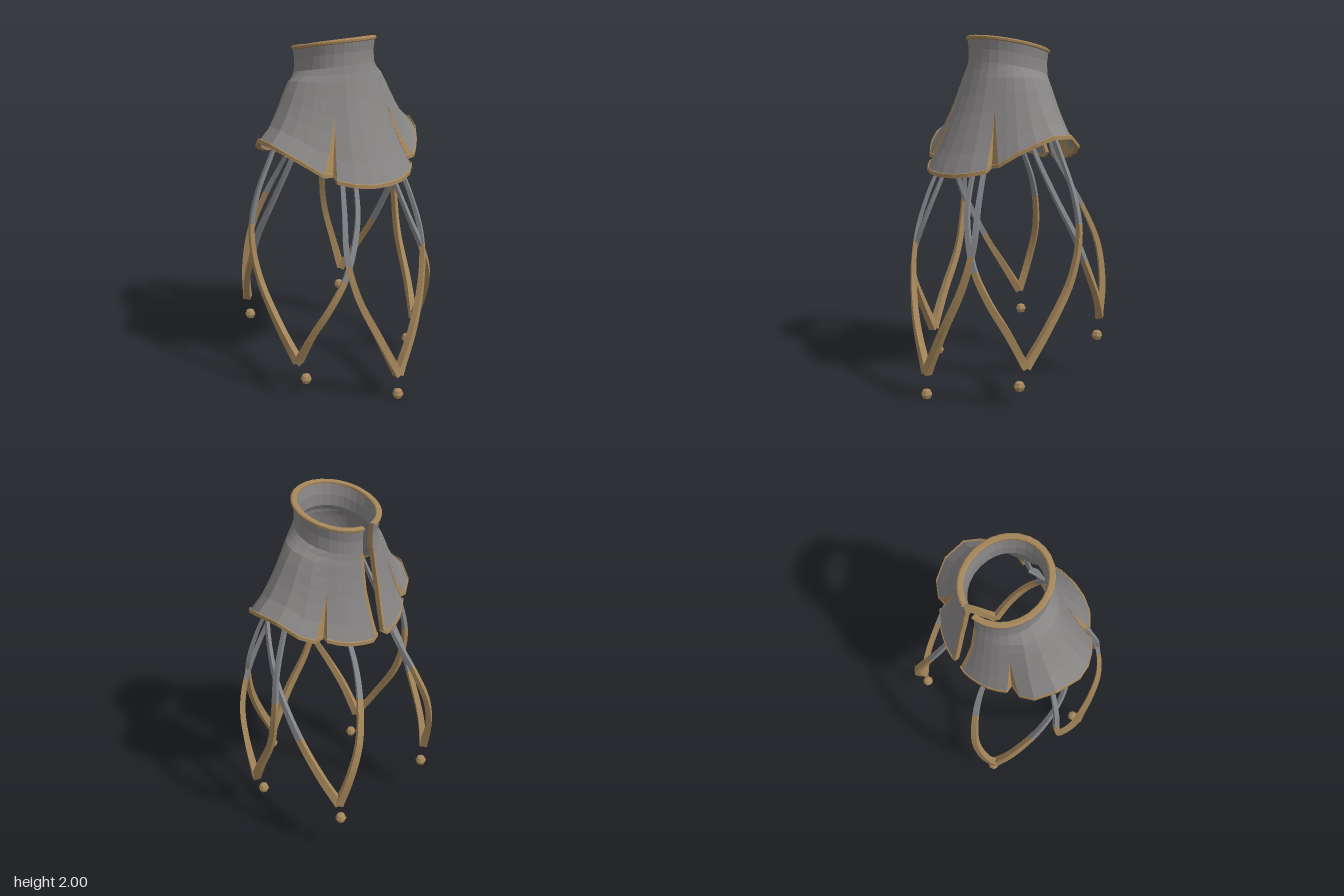
import * as THREE from 'three';

const V = (x, y, z) => new THREE.Vector3(x, y, z);
const mat = (name, color) => {
  const m = new THREE.MeshStandardMaterial({ color, flatShading: true, side: THREE.DoubleSide });
  m.name = name;
  return m;
};
const CZ = -0.07; // depth of the collar axis
const WALL = 0.018;

// Surface through rows of points
function loft(name, rows, material, caps = false) {
  const n = rows[0].length, pos = [], idx = [];
  rows.forEach(r => r.forEach(p => pos.push(p.x, p.y, p.z)));
  for (let i = 0; i < rows.length - 1; i++)
    for (let j = 0; j < n - 1; j++) {
      const a = i * n + j, b = a + n;
      idx.push(a, b, a + 1, b, b + 1, a + 1);
    }
  if (caps) [0, (rows.length - 1) * n].forEach(o => idx.push(o, o + 1, o + 2, o, o + 2, o + 3));
  const g = new THREE.BufferGeometry();
  g.setAttribute('position', new THREE.Float32BufferAttribute(pos, 3));
  g.setIndex(idx);
  g.computeVertexNormals();
  const m = new THREE.Mesh(g, material);
  m.name = name;
  return m;
}

// Point at an angle from the front, measured about the collar axis
function polar(deg, r, y) {
  const a = THREE.MathUtils.degToRad(deg);
  return V(Math.sin(a) * r, y, CZ + Math.cos(a) * r);
}
const cosD = d => Math.cos(THREE.MathUtils.degToRad(d));
const collarR = d => 0.228 - 0.012 * (1 - cosD(d) ** 2);
const collarY = d => 1.815 + 0.045 * cosD(d);

// Skirt profile: drop fraction, spread at the sides, spread at front and back
const DROP = [0, 0.07, 0.14, 0.3, 0.45, 0.6, 0.8, 1];
const SIDE = [0, 0.1, 0.22, 0.35, 0.45, 0.56, 0.73, 1];
const FRONT = [0, 0.03, 0.08, 0.2, 0.34, 0.5, 0.73, 1];
const SLIT = 4; // row where slits begin

// Hem columns: angle, radius, height, then angle and radius above the slit
const frontHem = [[0, 0.47, 1.25], [12, 0.468, 1.253], [24, 0.462, 1.265], [36, 0.445, 1.285, 37.5, 0.435]];
const sideHem = [[45, 0.448, 1.32, 37.5, 0.435], [50, 0.457, 1.345], [58, 0.47, 1.385], [69, 0.488, 1.43],
  [80, 0.497, 1.465], [96, 0.475, 1.46], [110, 0.447, 1.4], [119, 0.4, 1.36, 125, 0.375]];
const backHem = [[128, 0.37, 1.355, 125, 0.375], [136, 0.36, 1.335], [145, 0.352, 1.32], [154, 0.343, 1.31],
  [163, 0.337, 1.3], [171, 0.333, 1.295, 167], [176, 0.33, 1.32, 171]];
// Bottom of each slit, where the side panel's edge folds inwards
const frontFold = [39, 0.405, 1.31, 37.5, 0.435], backFold = [124, 0.335, 1.355, 125, 0.375];
const flip = cols => cols.map(([a, r, y, at = a, rt = r]) => [-a, r, y, -at, rt]).reverse();

function skirtPoint([a, r, y, at = a, rt = r], i, off = 0, dy = 0) {
  const k = Math.max(0, (DROP[i] - 0.45) / 0.55);
  const ang = at + (a - at) * k, hemR = rt + (r - rt) * k;
  const s = 1 - cosD(ang) ** 2;
  const f = SIDE[i] * s + FRONT[i] * (1 - s);
  const rc = collarR(ang), yc = collarY(ang);
  return polar(ang, rc + (hemR - rc) * f + off, yc + (y - yc) * DROP[i] + dy);
}
const column = (c, from, off) => DROP.map((_, i) => i).slice(from).map(i => skirtPoint(c, i, off));

// Flat band swept along a curve, its section narrowing from start to end
function band(name, points, t0, t1, material) {
  const curve = new THREE.CatmullRomCurve3(points.map(p => V(...p)));
  const rows = [], N = 14;
  for (let i = 0; i <= N; i++) {
    const t = t0 + (t1 - t0) * i / N;
    const p = curve.getPoint(t), tan = curve.getTangent(t);
    const out = V(p.x, 0, p.z + 0.03).normalize();
    const wide = new THREE.Vector3().crossVectors(tan, out).normalize();
    const nor = new THREE.Vector3().crossVectors(wide, tan).normalize();
    const w = 0.022 - 0.013 * t, h = 0.023 - 0.015 * Math.sqrt(t);
    rows.push([[1, 1], [-1, 1], [-1, -1], [1, -1], [1, 1]].map(([u, v]) =>
      p.clone().addScaledVector(wide, u * w).addScaledVector(nor, v * h)));
  }
  return loft(name, rows, material, true);
}

export function createModel() {
  const root = new THREE.Group();
  root.name = 'petalCollar';
  const grey = mat('greyCloth', 0x878484);
  const steel = mat('greyStrand', 0x85868a);
  const gold = mat('goldTrim', 0xa5865a);

  // Panels from the back right around the front to the back left, and the folds between them
  const front = [...flip(frontHem).slice(0, -1), ...frontHem];
  const panels = [flip(backHem), flip(sideHem), front, sideHem, backHem];
  const folds = [...flip([frontFold, backFold]), frontFold, backFold];
  const names = ['backPanelRight', 'sidePanelRight', 'frontPanel', 'sidePanelLeft', 'backPanelLeft'];

  // Standing collar, open at the back, its facets lined up with the skirt
  const angles = [...new Set(panels.flat().map(c => c[3] ?? c[0]))];
  const ring = profile => angles.map(d => profile.map(([off, f]) =>
    polar(d, collarR(d) + off, collarY(d) + f * 0.135)));
  const wall = ring([[-WALL, -0.15], [-0.034, 0.05], [-0.032, 0.5], [-0.018, 1],
    [0.004, 1], [-0.004, 0.5], [-0.002, 0.2], [0, 0]]);
  root.add(loft('collarBand', wall, grey));
  root.add(loft('collarRim', ring([[0.002, 0.88], [0.01, 0.92], [0.011, 1.0], [0.004, 1.04],
    [-0.016, 1.04], [-0.021, 1], [-0.021, 0.92]]), gold));
  [wall[0], wall[wall.length - 1]].forEach(w =>
    root.add(loft('collarEnd', [w.slice(0, 4), w.slice(4).reverse()], gold)));

  // Skirt panels with an inner lining
  panels.forEach((cols, k) => {
    root.add(loft(names[k], cols.map(c => column(c, 0, 0)), grey));
    root.add(loft(names[k] + 'Lining', cols.map(c => column(c, 0, -WALL)), grey));
  });

  // Gold folds that fill the slits between panels
  folds.forEach((fold, k) => {
    const cols = [panels[k][panels[k].length - 1], fold, panels[k + 1][0]];
    for (const off of [0.002, -WALL])
      root.add(loft('slitFold', cols.map(c => column(c, SLIT, off)), gold));
  });

  // Gold edging along the hem and both sides of the back opening
  const lift = 0.017;
  const hem = panels.flatMap((cols, k) => k < 4 ? [...cols, folds[k]] : cols);
  root.add(loft('hemTrim', hem.map(c => [
    skirtPoint(c, 7, 0, lift), skirtPoint(c, 7, 0.005, lift - 0.003), skirtPoint(c, 7, 0.006, -0.006),
    skirtPoint(c, 7, -WALL - 0.004, -0.006), skirtPoint(c, 7, -WALL - 0.006, lift)]), gold));
  [1, -1].forEach(s => {
    const [a, r, y, at] = backHem[6];
    const end = [a * s, r, y, at * s], inset = [(a - 3.5) * s, r, y, (at - 3.5) * s];
    root.add(loft('openingTrim', [column(inset, 0, 0.003), column(end, 0, 0.005),
      column(end, 0, -WALL - 0.004), column(inset, 0, -WALL - 0.003)], gold));
  });

  // Hanging strands: name, share of length that is gold, points from tip to root
  const strands = [
    ['frontStrand', 0.46, [[0, 0.155, 0.508], [0.13, 0.42, 0.487], [0.235, 0.68, 0.43], [0.268, 0.9, 0.38],
      [0.237, 1.12, 0.32], [0.19, 1.35, 0.235], [0.17, 1.55, 0.19]]],
    ['sideFrontStrand', 0.48, [[0.44, 0.235, 0.16], [0.41, 0.44, 0.265], [0.36, 0.61, 0.35], [0.28, 0.79, 0.39],
      [0.18, 1.04, 0.355], [0.135, 1.23, 0.29], [0.12, 1.5, 0.18]]],
    ['sideBackStrand', 0.54, [[0.44, 0.235, 0.16], [0.487, 0.44, 0.045], [0.52, 0.7, -0.09], [0.527, 0.95, -0.138],
      [0.495, 1.15, -0.125], [0.41, 1.37, -0.1], [0.33, 1.55, -0.08]]],
    ['rearInnerStrand', 0.52, [[0.365, 0.385, -0.465], [0.338, 0.57, -0.512], [0.28, 0.8, -0.525], [0.215, 1.01, -0.465],
      [0.17, 1.17, -0.39], [0.14, 1.35, -0.29], [0.13, 1.5, -0.25]]],
    ['rearOuterStrand', 0.36, [[0.365, 0.385, -0.465], [0.412, 0.53, -0.39], [0.45, 0.74, -0.265], [0.463, 0.92, -0.165],
      [0.45, 1.1, -0.06], [0.4, 1.33, 0.04], [0.35, 1.5, 0.09]]],
  ];
  for (const s of [1, -1])
    for (const [name, split, pts] of strands) {
      const p = pts.map(([x, y, z]) => [x * s, y, z]);
      root.add(band(name + 'Lower', p, 0, split, gold));
      root.add(band(name + 'Upper', p, split, 1, steel));
    }

  // Beads floating below each tip
  const bead = new THREE.SphereGeometry(0.032, 8, 4);
  [[0, 0.032, 0.51], [0.387, 0.11, 0.16], [-0.387, 0.11, 0.16], [0.35, 0.265, -0.465], [-0.35, 0.265, -0.465]]
    .forEach(p => {
      const m = new THREE.Mesh(bead, gold);
      m.name = 'bead';
      m.position.set(...p);
      root.add(m);
    });
  return root;
}
